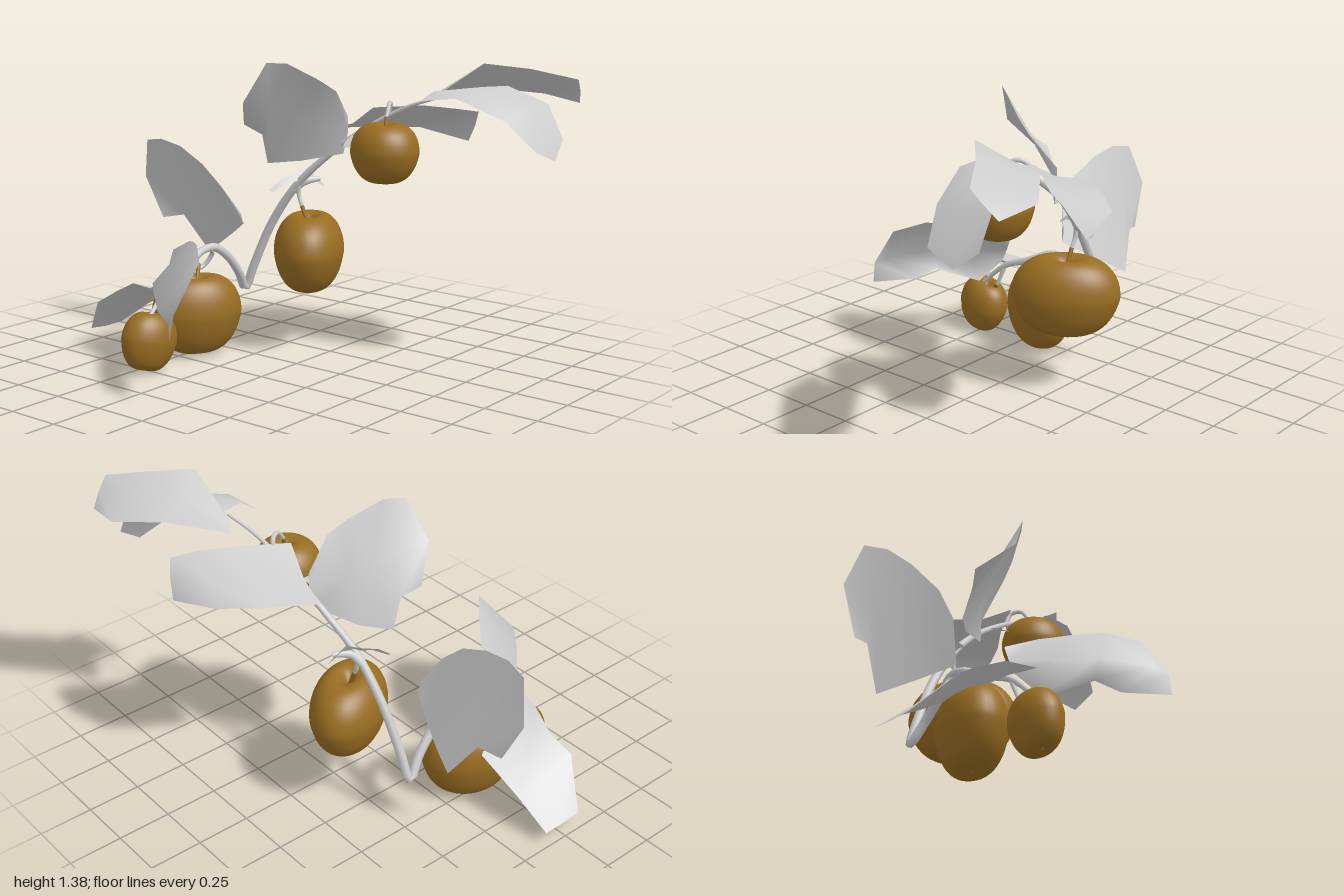
import * as THREE from 'three';

const leafGrey = new THREE.MeshStandardMaterial({ color: 0xcccccc, side: THREE.DoubleSide });
leafGrey.name = 'leaf and bark grey';
const fruitBrown = new THREE.MeshStandardMaterial({ color: 0x986d22 });
fruitBrown.name = 'fruit brown';

const vec = (p) => new THREE.Vector3(...p);

function add(parent, name, geometry, material) {
  const mesh = new THREE.Mesh(geometry, material);
  mesh.name = name;
  parent.add(mesh);
  return mesh;
}

// Tube along points whose radius follows a list of values from start to end
function taperedTube(points, radii, segments = 24, sides = 8) {
  const curve = new THREE.CatmullRomCurve3(points.map(vec), false, 'centripetal');
  const geo = new THREE.TubeGeometry(curve, segments, 1, sides);
  const pos = geo.attributes.position;
  const v = new THREE.Vector3();
  for (let i = 0; i <= segments; i++) {
    const t = i / segments;
    const centre = curve.getPointAt(t);
    const k = t * (radii.length - 1);
    const a = Math.min(Math.floor(k), radii.length - 2);
    const r = THREE.MathUtils.lerp(radii[a], radii[a + 1], k - a);
    for (let j = 0; j <= sides; j++) {
      const n = i * (sides + 1) + j;
      v.fromBufferAttribute(pos, n).sub(centre).multiplyScalar(r).add(centre);
      pos.setXYZ(n, v.x, v.y, v.z);
    }
  }
  return geo;
}

// Leaf sheet spanned between an edge, the midrib and the other edge
function leafSheet(rails) {
  const cols = rails[0].length;
  const index = [];
  for (let r = 0; r < rails.length - 1; r++) {
    for (let c = 0; c < cols - 1; c++) {
      const a = r * cols + c, b = a + 1, d = a + cols, e = d + 1;
      index.push(a, d, b, b, d, e);
    }
  }
  const geo = new THREE.BufferGeometry();
  geo.setAttribute('position', new THREE.Float32BufferAttribute(rails.flat(2), 3));
  geo.setIndex(index);
  geo.computeVertexNormals();
  return geo;
}

// Unit fruit body with a dimple at the stem and at the base
function fruitBody() {
  const profile = [[0, -0.9], [0.14, -0.93], [0.3, -0.99], [0.5, -0.94], [0.71, -0.76], [0.88, -0.46],
    [0.98, -0.1], [1, 0.14], [0.94, 0.47], [0.8, 0.75], [0.6, 0.94], [0.4, 1], [0.22, 0.94], [0.1, 0.83], [0, 0.76]];
  const spline = new THREE.SplineCurve(profile.map((p) => new THREE.Vector2(...p)));
  const points = spline.getPoints(42).map((p) => new THREE.Vector2(Math.max(p.x, 0), p.y));
  return new THREE.LatheGeometry(points, 36);
}

export function createModel() {
  const model = new THREE.Group();
  model.name = 'fruitingBranch';

  // Main branch, from the low front end round the elbow to the thin tip
  add(model, 'mainBranch', taperedTube([
    [-0.445, 0.25, 0.49], [-0.455, 0.365, 0.36], [-0.47, 0.425, 0.21], [-0.485, 0.475, 0.1],
    [-0.475, 0.48, 0.02], [-0.46, 0.43, -0.05], [-0.465, 0.33, -0.14], [-0.485, 0.24, -0.21],
    [-0.44, 0.36, -0.225], [-0.34, 0.58, -0.245], [-0.2, 0.78, -0.27], [-0.02, 0.95, -0.32],
    [0.14, 1.06, -0.345], [0.33, 1.165, -0.38], [0.49, 1.22, -0.42],
  ], [0.009, 0.018, 0.021, 0.021, 0.02, 0.016, 0.012, 0.006], 90), leafGrey);
  add(model, 'branchStub', taperedTube([[-0.23, 0.74, -0.265], [-0.19, 0.78, -0.29], [-0.15, 0.79, -0.36]],
    [0.02, 0.02, 0.012], 8), leafGrey);

  // Fruits: centre, radii, turn about the vertical, lean, and their stalks
  const body = fruitBody();
  const fruits = [
    { at: [-0.45, 0.134, 0.495], size: [0.1, 0.128, 0.136], turn: -0.17, lean: -0.25,
      stalk: [[-0.455, 0.365, 0.36], [-0.45, 0.31, 0.38], [-0.445, 0.26, 0.4]], end: [-0.446, 0.21, 0.45] },
    { at: [-0.472, 0.187, 0.152], size: [0.147, 0.18, 0.214], turn: -0.5, lean: 0,
      stalk: [[-0.475, 0.475, 0.05], [-0.49, 0.45, 0.02], [-0.525, 0.39, 0.04], [-0.535, 0.375, 0.09], [-0.5, 0.41, 0.105]],
      end: [-0.475, 0.32, 0.15] },
    { at: [-0.138, 0.456, -0.266], size: [0.163, 0.179, 0.246], turn: 0.54, lean: 0,
      stalk: [[-0.2, 0.78, -0.27], [-0.2, 0.72, -0.268], [-0.18, 0.67, -0.265]], end: [-0.14, 0.58, -0.265] },
    { at: [0.303, 0.97, -0.247], size: [0.155, 0.132, 0.152], turn: 0, lean: 0,
      stalk: [[0.23, 1.11, -0.365], [0.255, 1.175, -0.355], [0.28, 1.18, -0.31], [0.295, 1.13, -0.27]], end: [0.305, 1.06, -0.25] },
  ];
  for (const f of fruits) {
    const fruit = new THREE.Group();
    fruit.name = 'fruit';
    fruit.position.set(...f.at);
    fruit.rotation.set(f.lean, f.turn, 0);
    model.add(fruit);
    add(fruit, 'fruitBody', body, fruitBrown).scale.set(...f.size);
    const calyx = add(fruit, 'calyx', new THREE.ConeGeometry(0.018, 0.03, 6), fruitBrown);
    calyx.rotation.x = Math.PI;
    calyx.position.y = -f.size[1] * 0.9;
    add(model, 'stalk', taperedTube(f.stalk, [0.012, 0.009], 16), leafGrey);
    add(model, 'stalkEnd', taperedTube([f.stalk.at(-1), f.end], [0.01, 0.008], 4), fruitBrown);
  }

  // Broad leaves: edge, midrib, edge, each running from base to end
  const leaf = (name, ...rails) => add(model, name, leafSheet(rails), leafGrey);
  leaf('upperRightLeaf',
    [[-0.38, 0.64, -0.06], [-0.45, 0.77, 0], [-0.55, 0.865, 0.015], [-0.7, 0.935, 0.005], [-0.83, 0.957, 0], [-0.94, 0.94, -0.02]],
    [[-0.37, 0.6, -0.06], [-0.48, 0.66, -0.065], [-0.59, 0.69, -0.075], [-0.71, 0.7, -0.08], [-0.84, 0.74, -0.07], [-1, 0.75, -0.065]],
    [[-0.38, 0.59, -0.08], [-0.5, 0.515, -0.13], [-0.6, 0.455, -0.165], [-0.7, 0.395, -0.19], [-0.81, 0.57, -0.13], [-0.91, 0.55, -0.09]]);
  leaf('frontLeaf',
    [[-0.457, 0.524, 0.32], [-0.31, 0.593, 0.37], [-0.2, 0.62, 0.46], [-0.1, 0.635, 0.55], [0.013, 0.594, 0.66]],
    [[-0.46, 0.45, 0.35], [-0.385, 0.42, 0.53], [-0.255, 0.43, 0.66], [-0.09, 0.4, 0.805], [0, 0.4, 0.805]],
    [[-0.46, 0.385, 0.38], [-0.377, 0.283, 0.46], [-0.24, 0.348, 0.617], [-0.15, 0.305, 0.68], [-0.008, 0.294, 0.825]]);
  leaf('lowerRightLeaf',
    [[-0.5, 0.36, 0.28], [-0.61, 0.29, 0.1], [-0.72, 0.225, 0.115], [-0.82, 0.17, 0.125], [-0.98, 0.06, 0.145]],
    [[-0.465, 0.385, 0.4], [-0.6, 0.32, 0.3], [-0.72, 0.25, 0.28], [-0.82, 0.2, 0.28], [-0.98, 0.06, 0.25]],
    [[-0.44, 0.38, 0.49], [-0.58, 0.375, 0.455], [-0.72, 0.31, 0.42], [-0.82, 0.246, 0.45], [-0.98, 0.07, 0.345]]);
  leaf('middleLeaf',
    [[0.03, 1.1, -0.34], [0.06, 1.23, -0.21], [0.03, 1.285, -0.125], [-0.045, 1.365, 0.01], [-0.105, 1.37, 0.08]],
    [[0.03, 1.03, -0.34], [-0.07, 1.07, -0.22], [-0.12, 1.12, -0.12], [-0.17, 1.17, -0.02], [-0.2, 1.19, 0.13]],
    [[0.02, 0.93, -0.32], [-0.16, 0.89, -0.23], [-0.275, 0.88, -0.13], [-0.265, 1.02, -0.08], [-0.315, 1.07, -0.01]]);
  leaf('backLeaf',
    [[0.2, 1.16, -0.3], [0.33, 1.16, -0.5], [0.43, 1.14, -0.625], [0.486, 1.12, -0.73]],
    [[0.05, 1.07, -0.35], [0.18, 1.1, -0.54], [0.3, 1.08, -0.68], [0.45, 1.05, -0.76]],
    [[-0.1, 1.03, -0.385], [0.03, 1.03, -0.59], [0.165, 1.02, -0.73], [0.4, 0.97, -0.785]]);
  leaf('tipUpperLeaf',
    [[0.48, 1.24, -0.44], [0.68, 1.375, -0.45], [0.83, 1.35, -0.59], [1, 1.305, -0.71]],
    [[0.42, 1.22, -0.46], [0.62, 1.29, -0.57], [0.8, 1.29, -0.7], [0.985, 1.25, -0.76]],
    [[0.36, 1.21, -0.5], [0.57, 1.24, -0.685], [0.765, 1.215, -0.835], [0.957, 1.19, -0.81]]);
  leaf('tipDroopingLeaf',
    [[0.46, 1.21, -0.285], [0.62, 1.23, -0.32], [0.83, 1.14, -0.39], [0.95, 1.01, -0.45]],
    [[0.49, 1.25, -0.35], [0.66, 1.27, -0.47], [0.86, 1.18, -0.54], [0.965, 0.957, -0.59]],
    [[0.5, 1.23, -0.44], [0.7, 1.265, -0.62], [0.86, 1.19, -0.7], [0.94, 1.04, -0.7]]);

  // Small curled leaves close to the branch
  leaf('curledLeaflet',
    [[-0.27, 0.75, -0.13], [-0.25, 0.795, -0.19], [-0.22, 0.82, -0.27], [-0.19, 0.84, -0.32], [-0.16, 0.76, -0.4]],
    [[-0.25, 0.745, -0.14], [-0.22, 0.78, -0.2], [-0.19, 0.79, -0.27], [-0.165, 0.79, -0.33], [-0.145, 0.745, -0.39]]);
  leaf('tinyLeaflet',
    [[0.07, 1.02, -0.31], [0.075, 1, -0.26], [0.09, 0.98, -0.22]],
    [[0.12, 1.02, -0.31], [0.135, 1.01, -0.26], [0.125, 0.98, -0.22]]);

  return model;
}
